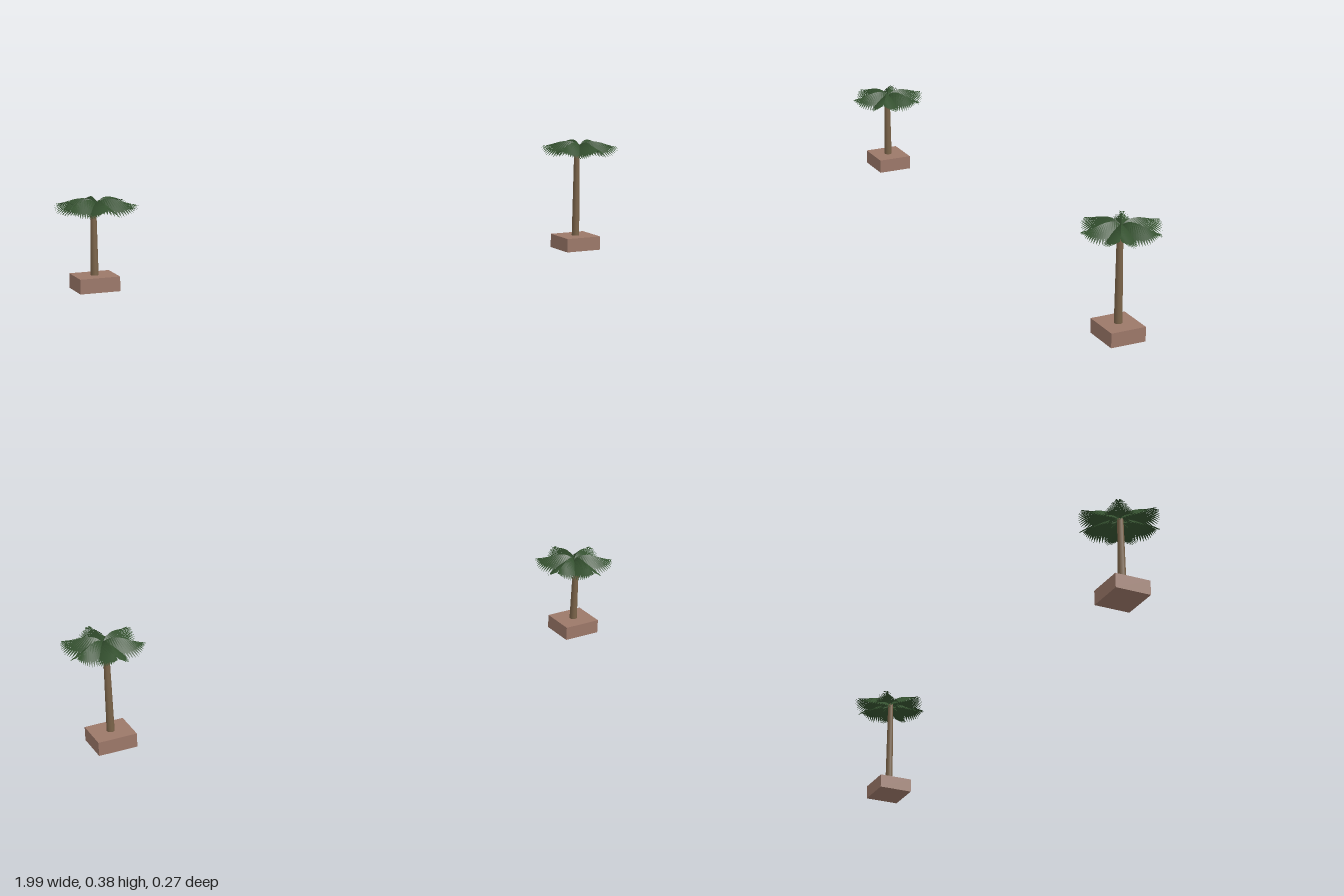
import * as THREE from 'three';

const leafMat = new THREE.MeshStandardMaterial({ color: 0x34502f, flatShading: true, side: THREE.DoubleSide });
const trunkMat = new THREE.MeshStandardMaterial({ color: 0x7a6349 });
const boxMat = new THREE.MeshStandardMaterial({ color: 0x9c7869 });

const RIB = 0.112;      // length of a frond's midrib
const LEAFLETS = 18;    // per side
const FRONDS = 6;

// Midrib rises steeply from the trunk, then arches gently down to the tip
const ribPoint = t => new THREE.Vector3(RIB * t, 0.02 * Math.sin(Math.PI * Math.pow(t, 0.65)) + 0.005 * t, 0);

// One frond along +x: wide overlapping leaflets sloping down on both sides of the midrib
function frondGeometry() {
  const pos = [];
  const tri = (...pts) => pts.forEach(p => pos.push(p.x, p.y, p.z));
  for (const side of [1, -1]) {
    for (let i = 0; i < LEAFLETS; i++) {
      const t = (i + 0.5) / LEAFLETS;
      const len = 0.022 + 0.045 * Math.sin(Math.PI * Math.pow(t, 0.85));
      const angle = THREE.MathUtils.lerp(1.25, 0.25, t);
      const droop = 0.8 - 0.65 * t ** 3;
      const a = ribPoint(i / LEAFLETS), b = ribPoint((i + 1) / LEAFLETS);
      const at = (p, f, spread) => new THREE.Vector3(
        p.x + Math.cos(angle) * len * f - Math.sin(angle) * spread,
        p.y - droop * len * f,
        side * (Math.sin(angle) * len * f + Math.cos(angle) * spread));
      const c = at(a, 0.65, 0.002), d = at(b, 0.65, -0.002);
      const e = at(a.clone().lerp(b, 0.5), 1, 0);
      const corners = side > 0 ? [a, c, d, a, d, b, c, e, d] : [a, d, c, a, b, d, c, d, e];
      tri(...corners);
    }
  }
  const g = new THREE.BufferGeometry();
  g.setAttribute('position', new THREE.Float32BufferAttribute(pos, 3));
  g.computeVertexNormals();
  return g;
}

function add(parent, name, geometry, material, y = 0, z = 0) {
  const mesh = new THREE.Mesh(geometry, material);
  mesh.name = name;
  mesh.position.set(0, y, z);
  parent.add(mesh);
  return mesh;
}

// Planter box, tapered trunk and a ring of fronds
function palm(name, x, crownY, frond) {
  const tree = new THREE.Group();
  tree.name = name;
  tree.position.x = x;
  add(tree, 'planterBox', new THREE.BoxGeometry(0.13, 0.047, 0.117), boxMat, 0.0235, -0.0015);

  const base = 0.04, height = crownY - base;
  add(tree, 'trunk', new THREE.CylinderGeometry(0.0095, 0.013, height, 12), trunkMat, base + height / 2, -0.0015);

  const crown = new THREE.Group();
  crown.name = 'crown';
  crown.position.set(0.009, crownY, 0);
  for (let i = 0; i < FRONDS; i++) {
    add(crown, 'frond', frond, leafMat).rotation.y = ((i + 0.5) / FRONDS) * Math.PI * 2;
  }
  tree.add(crown);
  return tree;
}

export function createModel() {
  const model = new THREE.Group();
  model.name = 'pottedPalms';
  const frond = frondGeometry();
  model.add(palm('shortPalm', -0.885, 0.269, frond));
  model.add(palm('tallPalm', 0.862, 0.356, frond));
  return model;
}
